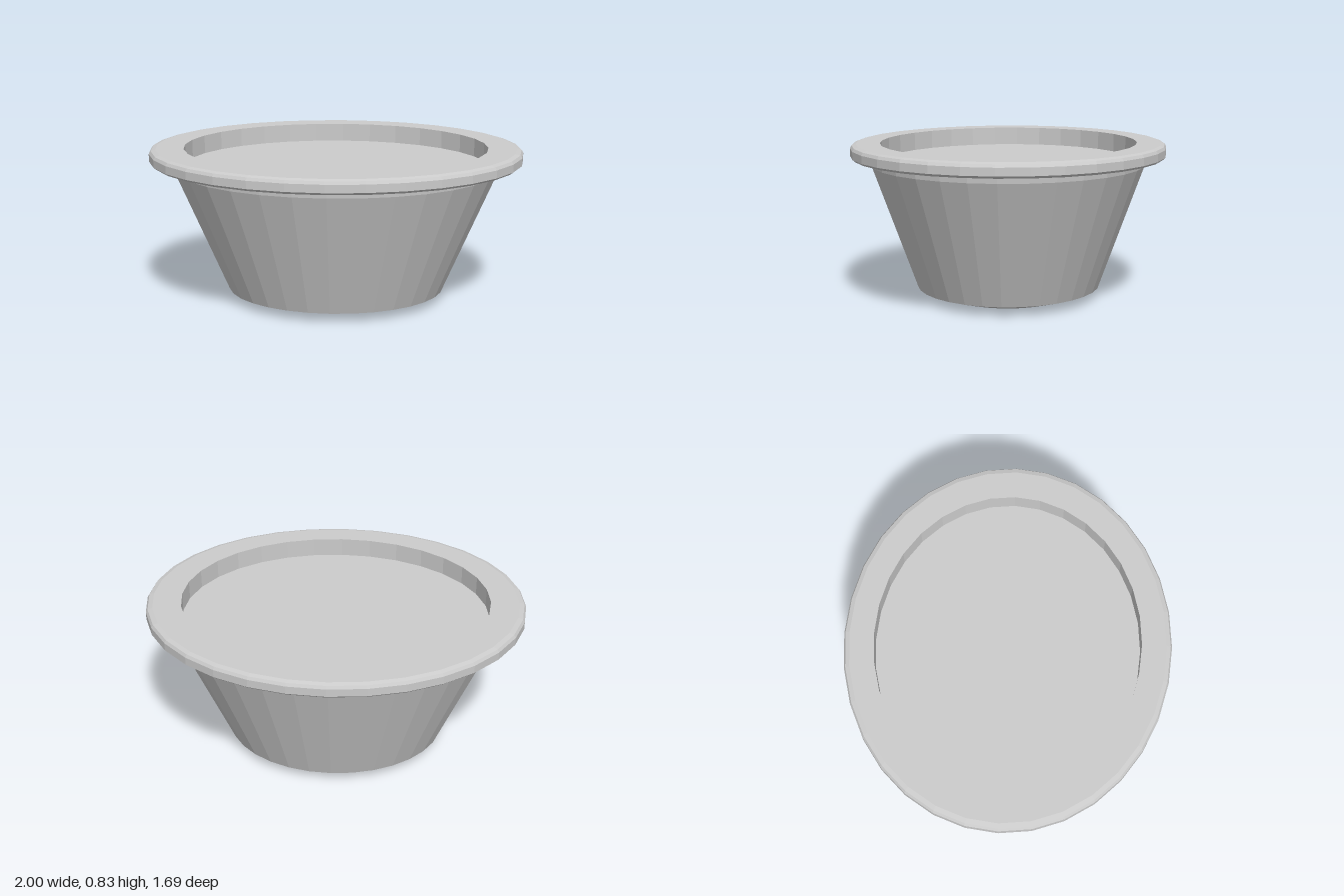
import * as THREE from 'three';

const SEGMENTS = 32;
const DEPTH = 0.845; // oval: z radius relative to x radius

export function createModel() {
  const group = new THREE.Group();
  group.name = 'ovalTub';
  const material = new THREE.MeshStandardMaterial({ color: 0xcccccc, flatShading: true });

  // Turns a [radius, height] profile and squashes it to an oval
  const turned = (name, profile) => {
    const points = profile.map(([r, y]) => new THREE.Vector2(r, y));
    const geometry = new THREE.LatheGeometry(points, SEGMENTS);
    geometry.scale(1, 1, DEPTH);
    const mesh = new THREE.Mesh(geometry, material);
    mesh.name = name;
    group.add(mesh);
  };

  // Tapered body with a flat foot and a bevelled lower edge
  turned('body', [[0, 0], [0.4, 0], [0.585, 0.05], [0.87, 0.715], [0.875, 0.755]]);

  // Overhanging lip with softened outer edges and a straight inner wall
  turned('rim', [
    [0.875, 0.755], [0.985, 0.755], [1, 0.767], [1, 0.808],
    [0.99, 0.823], [0.965, 0.83], [0.815, 0.83], [0.815, 0.73],
  ]);

  // Flat recessed surface inside the rim
  turned('recessedTop', [[0.815, 0.73], [0, 0.73]]);

  return group;
}
